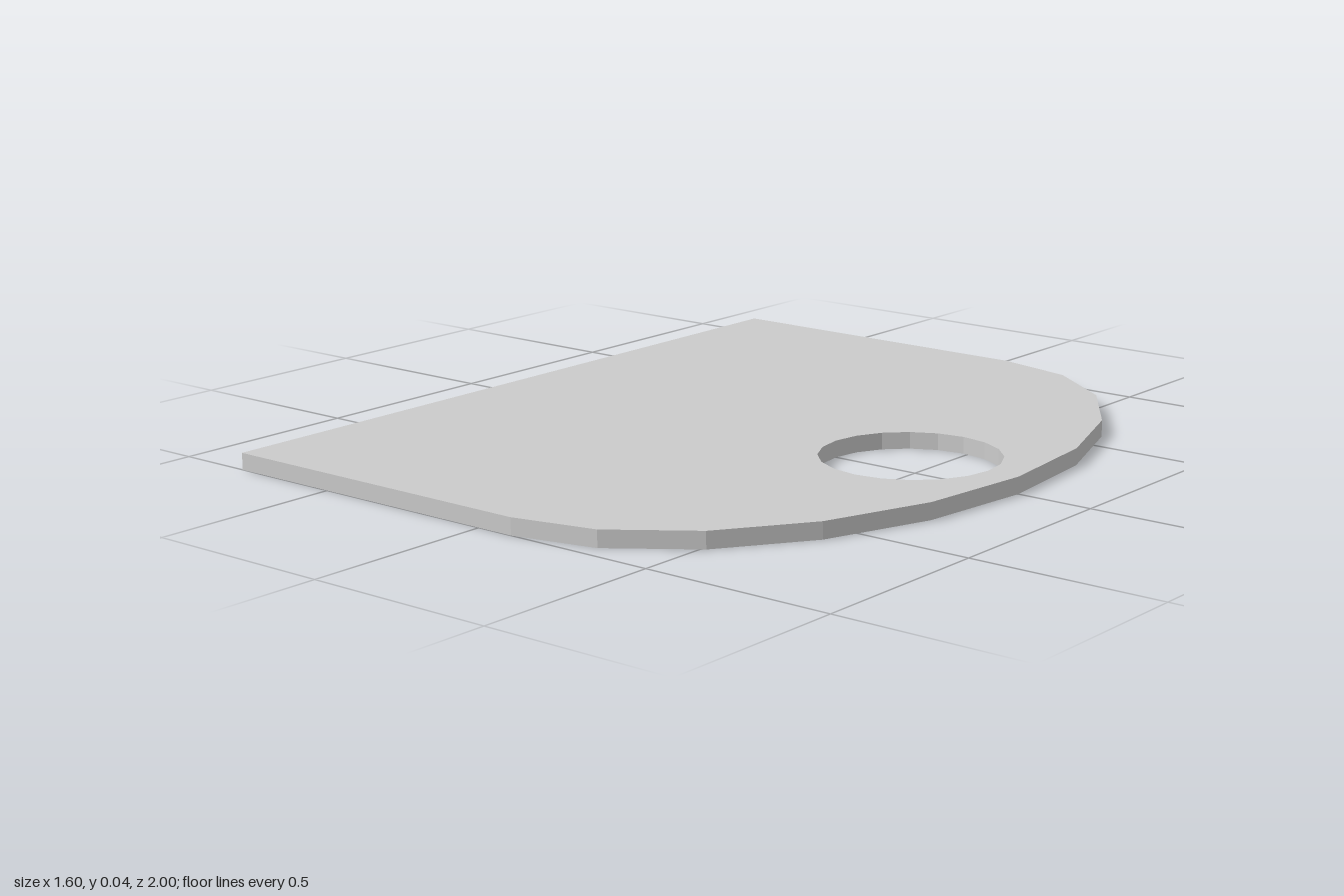
import * as THREE from 'three';

const THICKNESS = 0.043;

// Points on an ellipse between two angles
function arcPoints(cx, rx, ry, start, end, steps) {
  return Array.from({ length: steps + 1 }, (_, i) => {
    const a = start + ((end - start) * i) / steps;
    return new THREE.Vector2(cx + rx * Math.cos(a), ry * Math.sin(a));
  });
}

export function createModel() {
  const group = new THREE.Group();
  group.name = 'plateWithHole';

  // Outline: straight left edge, faceted half-ellipse on the right
  const outline = new THREE.Shape([
    new THREE.Vector2(-0.8, -1),
    ...arcPoints(0.1, 0.7, 1, -Math.PI / 2, Math.PI / 2, 10),
    new THREE.Vector2(-0.8, 1),
  ]);

  // Round hole near the curved end
  const rim = arcPoints(0.487, 0.227, 0.227, 0, Math.PI * 2, 20).slice(0, -1);
  outline.holes.push(new THREE.Path(rim.reverse()));

  // Flat plate lying on the ground
  const geometry = new THREE.ExtrudeGeometry(outline, { depth: THICKNESS, bevelEnabled: false });
  geometry.rotateX(-Math.PI / 2);
  const plate = new THREE.Mesh(
    geometry,
    new THREE.MeshStandardMaterial({ color: 0xcccccc, flatShading: true })
  );
  plate.name = 'plate';
  group.add(plate);

  return group;
}
